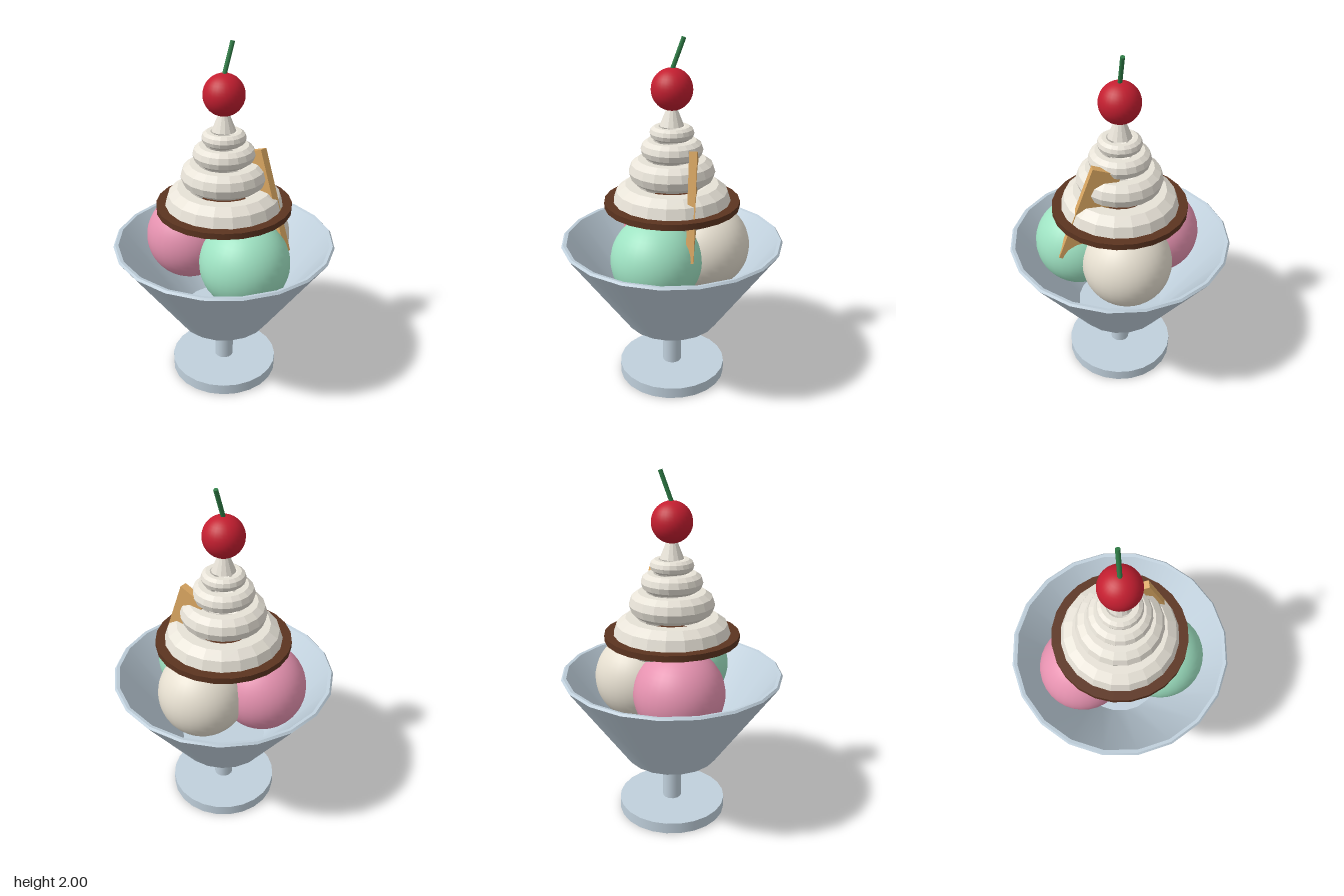
import * as THREE from 'three';
import { toCreasedNormals } from 'three/addons/utils/BufferGeometryUtils.js';

const mat = (name, color, flatShading = false) => {
  const m = new THREE.MeshStandardMaterial({ color, flatShading });
  m.name = name;
  return m;
};

export function createModel() {
  const glass = mat('glass', 0xc0d0dc);
  const cream = mat('cream', 0xe8e3d8, true);
  const vanilla = mat('vanilla', 0xe6dfd0);
  const strawberry = mat('strawberry', 0xe692b0);
  const mint = mat('mint', 0x9ee2c2);
  const sauce = mat('chocolate', 0x5c3420);
  const biscuit = mat('biscuit', 0xd9a661);
  const red = mat('cherryRed', 0xc41e30);
  const green = mat('stemGreen', 0x2f7d46);

  const model = new THREE.Group();
  model.name = 'iceCreamSundae';
  const add = (name, geometry, material, x = 0, y = 0, z = 0) => {
    const mesh = new THREE.Mesh(geometry, material);
    mesh.name = name;
    mesh.position.set(x, y, z);
    model.add(mesh);
    return mesh;
  };

  // Footed glass dish
  add('foot', new THREE.CylinderGeometry(0.315, 0.315, 0.065, 24), glass, 0, 0.0325);
  add('dishStem', new THREE.CylinderGeometry(0.055, 0.055, 0.32, 14), glass, 0, 0.215);
  const profile = [[0, 0.36], [0.27, 0.36], [0.628, 0.877], [0.618, 0.888], [0.6, 0.885], [0.25, 0.4], [0, 0.4]]
    .map(([r, y]) => new THREE.Vector2(r, y));
  add('bowl', toCreasedNormals(new THREE.LatheGeometry(profile, 20), 0.45), glass);

  // Three scoops
  const scoop = new THREE.SphereGeometry(0.25, 32, 24);
  add('strawberryScoop', scoop, strawberry, -0.227, 0.845, 0.063);
  add('mintScoop', scoop, mint, 0.227, 0.845, 0.063);
  add('vanillaScoop', scoop, vanilla, 0, 0.845, -0.19);

  // Sauce disc
  add('chocolateSauce', new THREE.CylinderGeometry(0.378, 0.378, 0.034, 24), sauce, 0, 1.1);

  // Whipped cream tiers: ring radius, tube radius, height
  [[0.228, 0.1, 1.115], [0.165, 0.073, 1.283], [0.118, 0.053, 1.406], [0.084, 0.037, 1.497]]
    .forEach(([ring, tube, y], i) => {
      const torus = new THREE.TorusGeometry(ring, tube, 10, 20);
      torus.rotateX(-Math.PI / 2);
      add('creamTier' + (i + 1), torus, cream, 0, y);
    });
  add('creamTip', new THREE.ConeGeometry(0.066, 0.165, 14), cream, 0, 1.6175);

  // Wafer leaning into the cream
  const wafer = new THREE.BoxGeometry(0.16, 0.58, 0.042);
  wafer.translate(-0.08, -0.29, 0);
  add('wafer', wafer, biscuit, 0.172, 1.445, -0.126).rotation.z = 0.35;

  // Cherry and its stem
  add('cherry', new THREE.SphereGeometry(0.112, 28, 20), red, 0, 1.729);
  const stem = new THREE.CylinderGeometry(0.012, 0.012, 0.2, 8);
  add('cherryStem', stem, green, 0, 1.902, -0.027).rotation.x = -0.35;

  return model;
}
